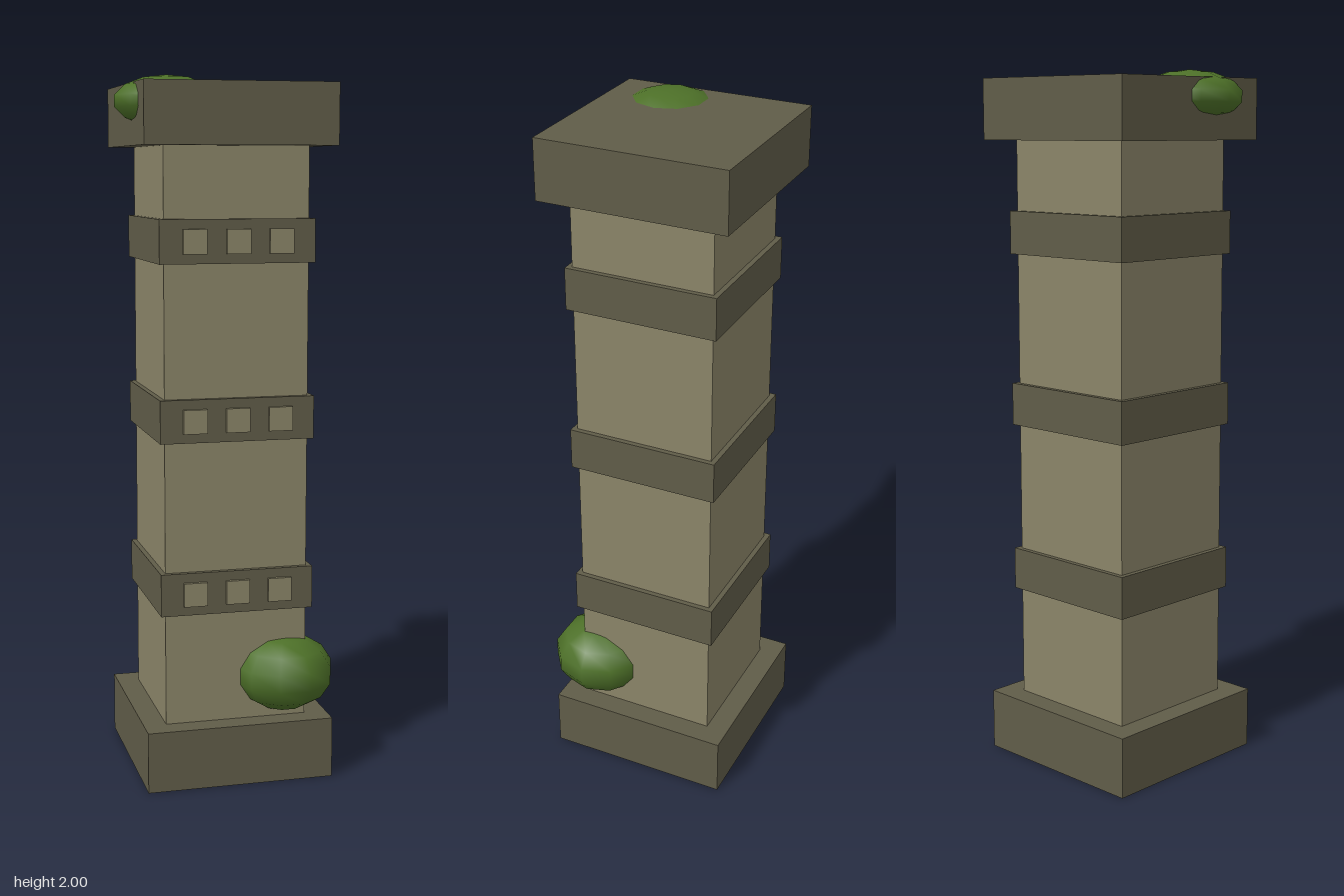
import * as THREE from 'three';

const CX = 0.0115, CZ = -0.0215; // pillar axis

export function createModel() {
  const group = new THREE.Group();
  const material = (color) => new THREE.MeshStandardMaterial({ color });
  const stone = material(0x8a8468);
  const darkStone = material(0x605c48);
  const moss = material(0x4d7028);

  const add = (name, geometry, mat, x, y, z) => {
    const mesh = new THREE.Mesh(geometry, mat);
    mesh.name = name;
    mesh.position.set(x, y, z);
    group.add(mesh);
    return mesh;
  };
  // Square block centred on the pillar axis
  const block = (name, width, y0, y1, mat) =>
    add(name, new THREE.BoxGeometry(width, y1 - y0, width), mat, CX, (y0 + y1) / 2, CZ);

  // Base, shaft and cap
  block('base', 0.543, 0, 0.176, darkStone);
  block('shaft', 0.413, 0.176, 1.808, stone);
  block('cap', 0.543, 1.808, 1.978, darkStone);

  // Bands with three raised studs on the front
  const studGeometry = new THREE.BoxGeometry(0.068, 0.068, 0.03);
  for (const y of [0.559, 1.053, 1.549]) {
    block('band', 0.443, y - 0.061, y + 0.061, darkStone);
    for (const i of [-1, 0, 1]) add('stud', studGeometry, stone, CX + i * 0.123, y, 0.196);
  }

  // Flattened moss clumps at the foot and on the cap
  const clumpGeometry = new THREE.SphereGeometry(0.15, 10, 7);
  add('lowerMoss', clumpGeometry, moss, 0.161, 0.3, 0.152).scale.y = 0.74;
  add('upperMoss', clumpGeometry, moss, -0.161, 1.928, 0.077).scale.y = 0.48;

  return group;
}
